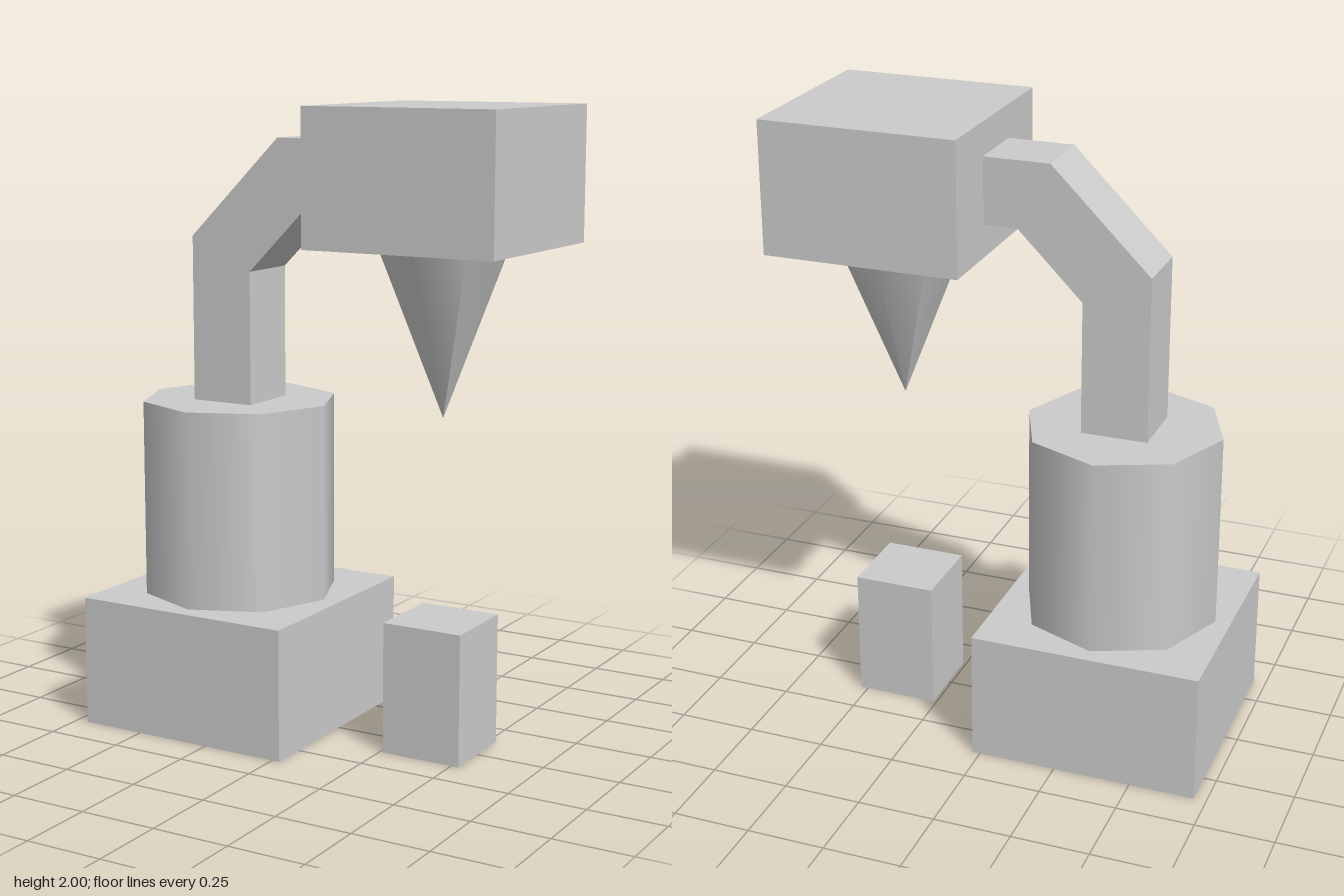
import * as THREE from 'three';

const grey = new THREE.MeshStandardMaterial({ color: 0xcccccc });
const greyDouble = new THREE.MeshStandardMaterial({ color: 0xcccccc, side: THREE.DoubleSide });

// Box without its underside, standing on the ground
function openBox(width, height, depth) {
  const geometry = new THREE.BoxGeometry(width, height, depth);
  const index = Array.from(geometry.index.array);
  index.splice(18, 6); // the -y face
  geometry.setIndex(index);
  geometry.clearGroups();
  return geometry;
}

export function createModel() {
  const model = new THREE.Group();
  const add = (name, geometry, x, y, material = grey) => {
    const mesh = new THREE.Mesh(geometry, material);
    mesh.name = name;
    mesh.position.set(x, y, 0);
    model.add(mesh);
  };

  // Hollow base and the small block beside it
  add('base', openBox(0.735, 0.42, 0.735), -0.342, 0.21, greyDouble);
  add('smallBlock', openBox(0.264, 0.42, 0.264), 0.393, 0.21, greyDouble);

  // Eight-sided, smooth-shaded column
  add('column', new THREE.CylinderGeometry(0.315, 0.315, 0.633, 8), -0.345, 0.737);

  // Bent square arm rising from the column to the head
  const profile = [
    [-0.45, 1.053], [-0.237, 1.053], [-0.237, 1.477], [-0.03, 1.685],
    [0.08, 1.685], [0.08, 1.895], [-0.133, 1.895], [-0.45, 1.58],
  ].map(([x, y]) => new THREE.Vector2(x, y));
  const arm = new THREE.ExtrudeGeometry(new THREE.Shape(profile), { depth: 0.21, bevelEnabled: false });
  arm.translate(0, 0, -0.105);
  add('arm', arm, 0, 0);

  // Head with a downward-pointing cone
  add('head', new THREE.BoxGeometry(0.63, 0.42, 0.63), 0.393, 1.79);
  add('cone', new THREE.CylinderGeometry(0.21, 0, 0.525, 8), 0.393, 1.318);

  return model;
}
